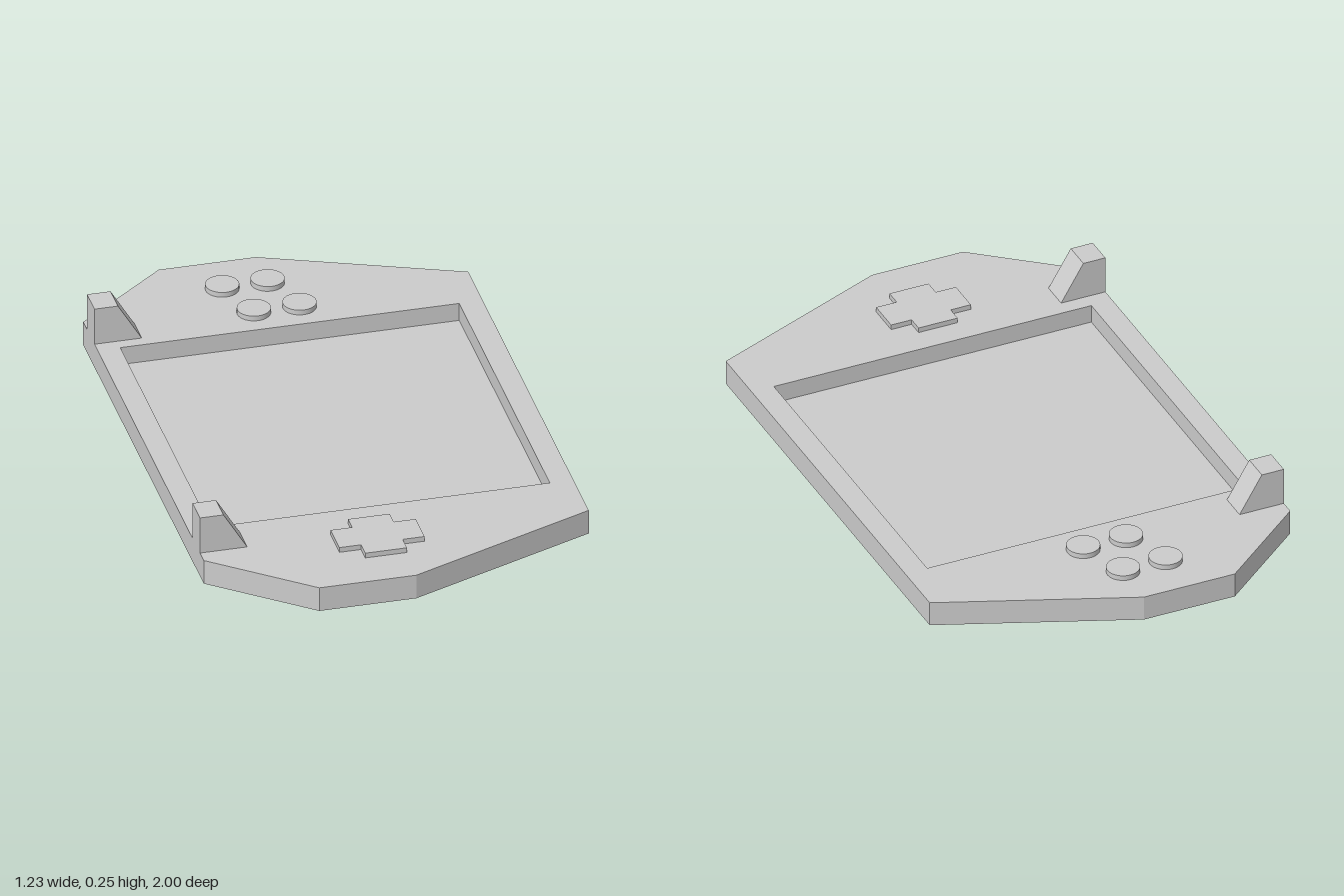
import * as THREE from 'three';

const material = new THREE.MeshStandardMaterial({ color: 0xcccccc, flatShading: true });
const smooth = new THREE.MeshStandardMaterial({ color: 0xcccccc });

// Plan outline of the case as [x, z]
const OUTLINE = [
  [-0.31, 1], [0, 1], [0.615, 0.75], [0.615, -0.75],
  [0, -1], [-0.31, -1], [-0.615, -0.75], [-0.615, 0.75],
];
const SCREEN = { x0: -0.543, x1: 0.54, z0: -0.57, z1: 0.558 };
const BODY_BOTTOM = 0.037, BODY_TOP = 0.12, SCREEN_Y = 0.059, BUTTON_TOP = 0.137;

function planShape(points) {
  return new THREE.Shape(points.map(([x, z]) => new THREE.Vector2(x, -z)));
}

// Extrude a plan shape upwards from y0 to y1
function slab(name, shape, y0, y1) {
  const geo = new THREE.ExtrudeGeometry(shape, { depth: y1 - y0, bevelEnabled: false });
  geo.rotateX(-Math.PI / 2).translate(0, y0, 0);
  const mesh = new THREE.Mesh(geo, material);
  mesh.name = name;
  return mesh;
}

function rectangle({ x0, x1, z0, z1 }) {
  return [[x0, z1], [x1, z1], [x1, z0], [x0, z0]];
}

export function createModel() {
  const model = new THREE.Group();
  model.name = 'handheldCase';

  // Smaller plate underneath
  const backPoints = OUTLINE.map(([x, z]) => [x * 0.9, z * 0.9 + 0.021]);
  model.add(slab('backPlate', planShape(backPoints), 0, BODY_BOTTOM));

  // Main body with the screen opening
  const bodyShape = planShape(OUTLINE);
  bodyShape.holes.push(planShape(rectangle(SCREEN)));
  model.add(slab('body', bodyShape, BODY_BOTTOM, BODY_TOP));

  // Recessed screen
  model.add(slab('screen', planShape(rectangle(SCREEN)), BODY_BOTTOM, SCREEN_Y));

  // Cross-shaped direction pad
  const [x0, x1, x2, x3] = [-0.196, -0.127, 0.006, 0.076];
  const [z0, z1, z2, z3] = [0.645, 0.696, 0.806, 0.859];
  const cross = [
    [x1, z3], [x2, z3], [x2, z2], [x3, z2], [x3, z1], [x2, z1],
    [x2, z0], [x1, z0], [x1, z1], [x0, z1], [x0, z2], [x1, z2],
  ];
  model.add(slab('directionPad', planShape(cross), BODY_TOP, BUTTON_TOP));

  // Four round buttons
  const buttons = new THREE.Group();
  buttons.name = 'roundButtons';
  const height = BUTTON_TOP - BODY_TOP;
  for (const [x, z] of [[-0.148, -0.84], [-0.003, -0.84], [-0.089, -0.676], [0.057, -0.676]]) {
    const button = new THREE.Mesh(new THREE.CylinderGeometry(0.053, 0.053, height, 32), smooth);
    button.name = 'roundButton';
    button.position.set(x, BODY_TOP + height / 2, z);
    buttons.add(button);
  }
  model.add(buttons);

  // Wedge-shaped posts on the right edge
  const postShape = new THREE.Shape([
    new THREE.Vector2(-0.615, BODY_TOP), new THREE.Vector2(-0.464, BODY_TOP),
    new THREE.Vector2(-0.54, 0.246), new THREE.Vector2(-0.615, 0.246),
  ]);
  for (const [name, z] of [['frontPost', 0.61], ['backPost', -0.703]]) {
    const geo = new THREE.ExtrudeGeometry(postShape, { depth: 0.093, bevelEnabled: false });
    const post = new THREE.Mesh(geo, material);
    post.name = name;
    post.position.z = z;
    model.add(post);
  }
  return model;
}
